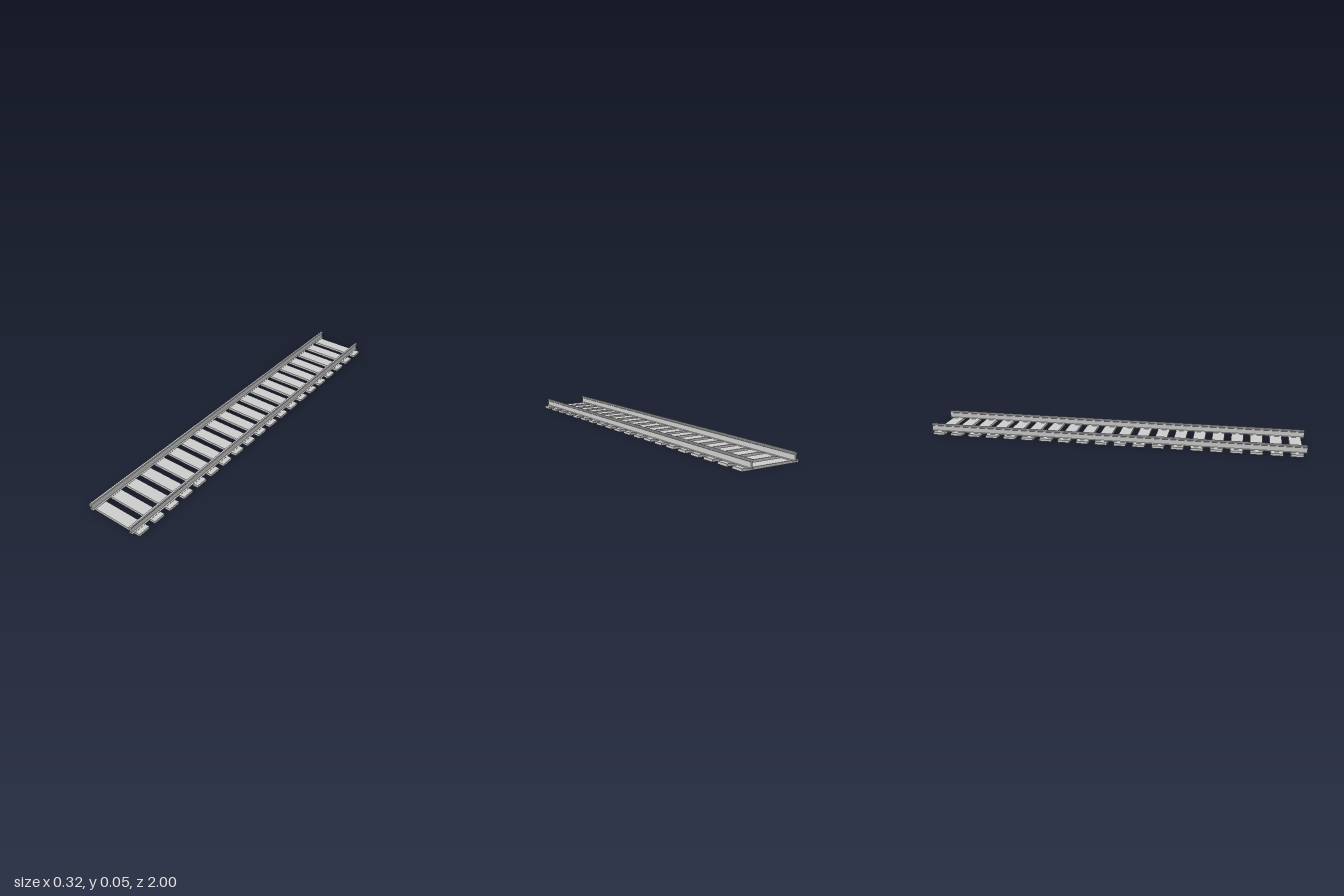
import * as THREE from 'three';

const LENGTH = 2;
const SLEEPERS = 20;
const SLEEPER = { width: 0.32, height: 0.013, depth: 0.064 };
const RAIL_X = 0.124;

// Half of the rail cross-section, from foot to head: [x, y]
const HALF_PROFILE = [
  [0.011, 0], [0.011, 0.0015], [0.004, 0.003], [0.004, 0.028],
  [0.0072, 0.031], [0.0072, 0.036], [0.0045, 0.0395],
];

function railGeometry() {
  const right = HALF_PROFILE.map(([x, y]) => new THREE.Vector2(x, y));
  const left = HALF_PROFILE.map(([x, y]) => new THREE.Vector2(-x, y)).reverse();
  const shape = new THREE.Shape([...right, ...left]);
  const geometry = new THREE.ExtrudeGeometry(shape, { depth: LENGTH, bevelEnabled: false });
  return geometry.translate(0, SLEEPER.height, -LENGTH / 2);
}

export function createModel() {
  const track = new THREE.Group();
  track.name = 'railwayTrack';
  const material = new THREE.MeshStandardMaterial({ color: 0xcccccc, flatShading: true });

  // Evenly spaced sleepers
  const sleepers = new THREE.Group();
  sleepers.name = 'sleepers';
  const sleeperGeometry = new THREE.BoxGeometry(SLEEPER.width, SLEEPER.height, SLEEPER.depth);
  const pitch = LENGTH / SLEEPERS;
  for (let i = 0; i < SLEEPERS; i++) {
    const sleeper = new THREE.Mesh(sleeperGeometry, material);
    sleeper.name = `sleeper${i + 1}`;
    sleeper.position.set(0, SLEEPER.height / 2, -LENGTH / 2 + pitch * (i + 0.5));
    sleepers.add(sleeper);
  }
  track.add(sleepers);

  // Pair of rails resting on the sleepers
  const geometry = railGeometry();
  for (const [name, side] of [['leftRail', 1], ['rightRail', -1]]) {
    const rail = new THREE.Mesh(geometry, material);
    rail.name = name;
    rail.position.x = side * RAIL_X;
    track.add(rail);
  }

  return track;
}
